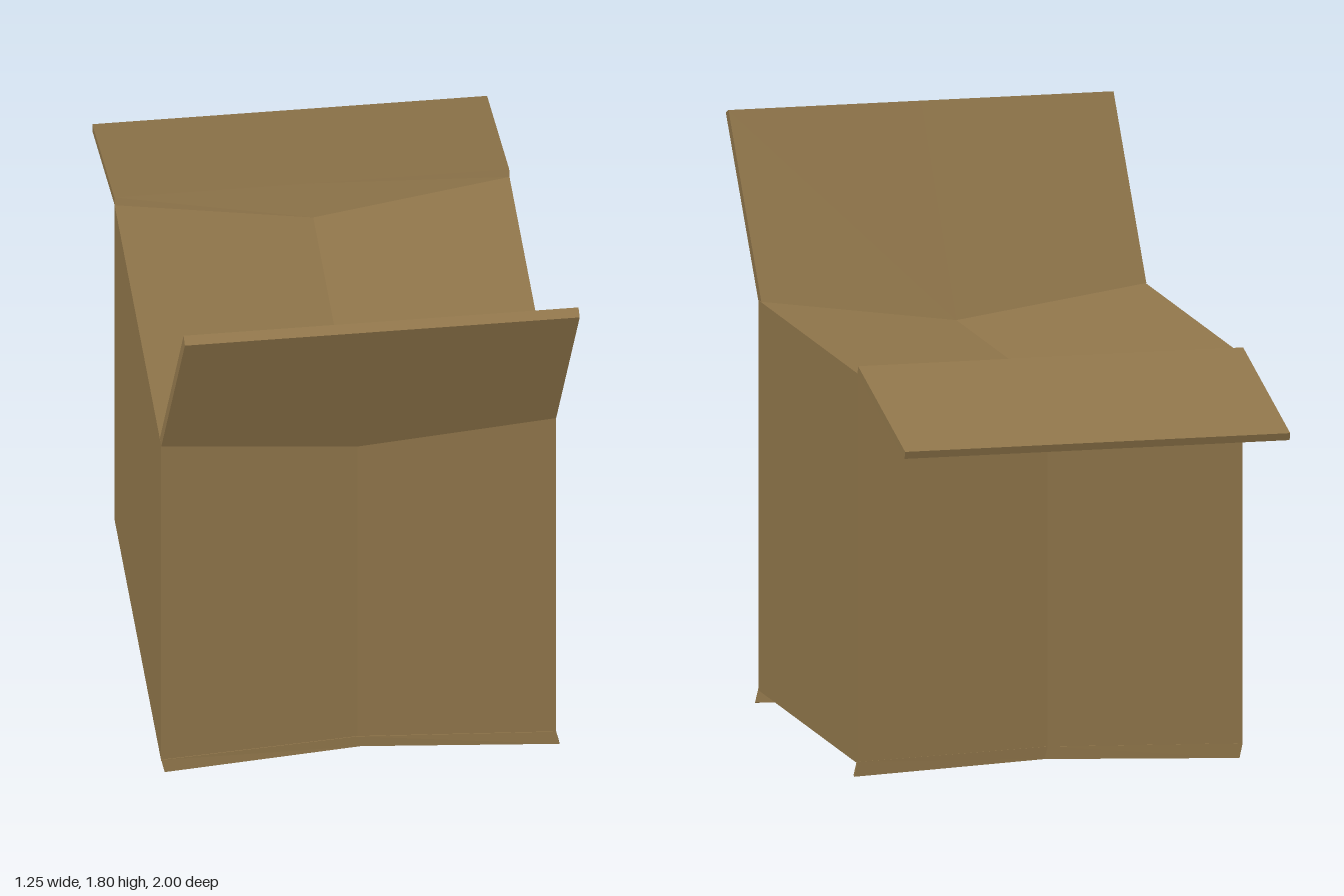
import * as THREE from 'three';

// Joins four-cornered sections, listed from -x to +x, into a flat-faced solid.
// Corners are [z, y], counter-clockwise as seen from +x.
function loft(name, material, stations) {
  const rings = stations.map(({ x, pts }) =>
    pts.map(([z, y], i) => [Array.isArray(x) ? x[i] : x, y, z]));
  const out = [];
  const quad = (a, b, c, d) => out.push(...a, ...b, ...c, ...a, ...c, ...d);
  for (let s = 0; s < rings.length - 1; s++) {
    const a = rings[s], b = rings[s + 1];
    for (let i = 0; i < 4; i++) {
      const j = (i + 1) % 4;
      quad(a[i], a[j], b[j], b[i]);
    }
  }
  const first = rings[0], last = rings[rings.length - 1];
  quad(first[3], first[2], first[1], first[0]);
  quad(last[0], last[1], last[2], last[3]);
  const geometry = new THREE.BufferGeometry();
  geometry.setAttribute('position', new THREE.Float32BufferAttribute(out, 3));
  geometry.computeVertexNormals();
  const mesh = new THREE.Mesh(geometry, material);
  mesh.name = name;
  return mesh;
}

// A part with equal ends and a different middle section at the centre crease;
// shift slides each corner sideways.
function creased(name, material, end, mid, shift = [0, 0, 0, 0]) {
  const at = (x) => shift.map((s) => x + s);
  return loft(name, material, [
    { x: at(-0.627), pts: end },
    { x: at(-0.025), pts: mid },
    { x: at(0.577), pts: end },
  ]);
}

export function createModel() {
  const group = new THREE.Group();
  group.name = 'cardboardBox';
  const cardboard = new THREE.MeshStandardMaterial({ color: 0x8f754a });
  cardboard.name = 'cardboard';
  cardboard.flatShading = true;

  // Body: dented front and back, top sagging into a shallow valley
  group.add(creased('body', cardboard,
    [[0.785, 0.04], [-0.42, 0.04], [-0.42, 1.243], [0.785, 1.243]],
    [[0.755, 0.055], [-0.39, 0.055], [-0.39, 1.165], [0.755, 1.165]]));

  // Front flap: raised, leaning outward and skewed sideways
  group.add(creased('frontFlap', cardboard,
    [[0.788, 1.243], [0.75, 1.245], [0.967, 1.798], [1, 1.785]],
    [[0.757, 1.165], [0.72, 1.165], [0.967, 1.798], [1, 1.785]],
    [0, 0, 0.047, 0.047]));

  // Back flap: folded out and drooping
  group.add(creased('backFlap', cardboard,
    [[-0.42, 1.243], [-0.992, 1.087], [-1, 1.11], [-0.427, 1.267]],
    [[-0.39, 1.165], [-0.992, 1.087], [-1, 1.11], [-0.427, 1.267]]));

  // Bottom flaps: pointed tabs showing under the front and back edges
  const low = [0.01, 0.01, 0, 0];
  group.add(creased('frontBottomFlap', cardboard,
    [[0.79, 0], [0.78, 0.003], [0.78, 0.045], [0.787, 0.045]],
    [[0.757, 0.02], [0.58, 0.023], [0.58, 0.058], [0.757, 0.058]], low));
  group.add(creased('backBottomFlap', cardboard,
    [[-0.41, 0.003], [-0.422, 0], [-0.421, 0.045], [-0.41, 0.045]],
    [[-0.16, 0.023], [-0.392, 0.02], [-0.392, 0.058], [-0.16, 0.058]], low));

  return group;
}
